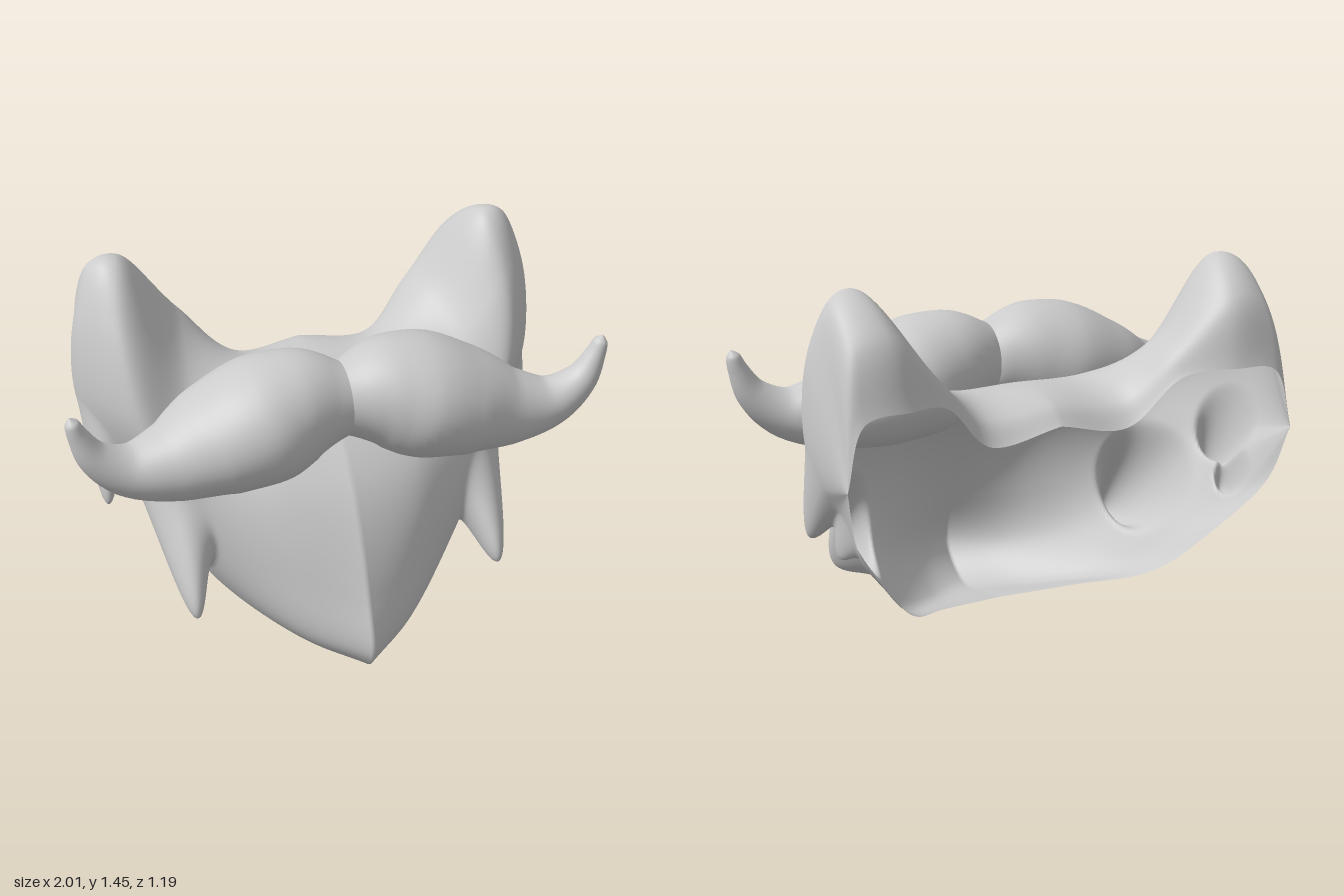
import * as THREE from 'three';

const material = new THREE.MeshStandardMaterial({ color: 0xcccccc, side: THREE.DoubleSide });
const curveOf = (pts) => new THREE.CatmullRomCurve3(pts.map((p) => new THREE.Vector3(...p)));

// Smooth surface from a grid of points; side = -1 mirrors it in x
function gridMesh(name, rows, cols, pointAt, closed, side) {
  const pos = [], index = [];
  const width = closed ? cols : cols + 1;
  for (let i = 0; i <= rows; i++) {
    for (let j = 0; j < width; j++) {
      const p = pointAt(i / rows, j / cols);
      pos.push(p.x * side, p.y, p.z);
    }
  }
  for (let i = 0; i < rows; i++) {
    for (let j = 0; j < cols; j++) {
      const k = (j + 1) % width;
      const a = i * width + j, b = a + width, c = i * width + k, d = c + width;
      if (side > 0) index.push(a, b, c, b, d, c);
      else index.push(a, c, b, b, c, d);
    }
  }
  const geo = new THREE.BufferGeometry();
  geo.setAttribute('position', new THREE.Float32BufferAttribute(pos, 3));
  geo.setIndex(index);
  geo.computeVertexNormals();
  const mesh = new THREE.Mesh(geo, material);
  mesh.name = name;
  return mesh;
}

// Beard sections from the middle to the outer cheek; each runs from the
// bottom rim round the front and over the top to the back rim
const sections = [
  [[0, .06, .1], [0, 0, .46], [0, .12, .61], [0, .34, .55], [0, .72, .34],
    [0, .95, .03], [0, 1, -.2], [0, .97, -.35], [0, .91, -.42]],
  [[.27, .1, 0], [.21, .04, .28], [.2, .15, .45], [.22, .38, .43], [.27, .72, .28],
    [.27, .95, .02], [.27, 1, -.2], [.27, .95, -.35], [.27, .87, -.42]],
  [[.5, .21, -.24], [.44, .15, .03], [.44, .27, .2], [.48, .48, .22], [.53, .75, .14],
    [.51, 1, -.03], [.48, 1.14, -.25], [.46, 1.13, -.42], [.46, 1.05, -.48]],
  [[.67, .41, -.4], [.6, .33, -.18], [.63, .47, 0], [.67, .68, .05], [.73, .94, .05],
    [.74, 1.26, -.09], [.7, 1.44, -.26], [.66, 1.32, -.48], [.63, 1.08, -.56]],
  [[.81, .62, -.52], [.77, .56, -.4], [.79, .65, -.3], [.85, .76, -.24], [.88, .95, -.21],
    [.86, 1.22, -.22], [.8, 1.41, -.3], [.79, 1.29, -.48], [.79, 1.06, -.57]],
];
const rimCorner = new THREE.Vector3(.86, .84, -.58);

// Tufts pulled out of the shell: place on it (across, along), tip and base radius
const tufts = [
  { at: [.58, .27], tip: [.61, .25, .33], radius: .23 }, // jaw
  { at: [.78, .37], tip: [.84, .53, -.085], radius: .16 }, // cheek
  { at: [.8, .2], tip: [.79, .5, -.26], radius: .1 }, // rear cheek
];

function buildBeard() {
  const curves = sections.map(curveOf);
  const shellPoint = (s, v) =>
    new THREE.CatmullRomCurve3([...curves.map((c) => c.getPoint(v)), rimCorner]).getPoint(s);
  const pulls = tufts.map(({ at, tip, radius }) => {
    const base = shellPoint(...at);
    return { base, radius, shift: new THREE.Vector3(...tip).sub(base) };
  });
  return gridMesh('beardShell', 240, 140, (u, v) => {
    const s = u * 2 - 1;
    const p = shellPoint(Math.abs(s), v);
    const start = p.clone();
    for (const { base, radius, shift } of pulls) {
      const d = Math.min(start.distanceTo(base) / radius, 1);
      p.addScaledVector(shift, (1 - d * d) ** 2);
    }
    p.x *= Math.sign(s);
    return p;
  }, false, 1);
}

// Moustache half: oval sweep along a path, curling up to a blunt tip
const moustachePath = curveOf([
  [0, 1.015, .21], [.15, 1.01, .2], [.3, .975, .2], [.48, .92, .205], [.65, .878, .23],
  [.8, .887, .25], [.91, .965, .26], [.96, 1.06, .26], [.978, 1.115, .26], [.985, 1.14, .26]]);
const moustacheRadii = curveOf([ // upright and depth radius
  [.135, .14, 0], [.205, .215, 0], [.225, .26, 0], [.195, .235, 0], [.142, .155, 0],
  [.095, .1, 0], [.062, .065, 0], [.038, .042, 0], [.026, .03, 0], [0, 0, 0]]);

function buildMoustache(name, side) {
  return gridMesh(name, 54, 40, (u, v) => {
    const t = moustachePath.getTangent(u), r = moustacheRadii.getPoint(u);
    const deep = new THREE.Vector3(0, 0, 1).addScaledVector(t, -t.z).normalize();
    const upright = t.clone().cross(deep);
    const angle = v * Math.PI * 2;
    const p = moustachePath.getPoint(u)
      .addScaledVector(upright, r.x * Math.cos(angle))
      .addScaledVector(deep, r.y * Math.sin(angle));
    // Both halves meet flat on the middle plane
    p.x = u === 0 ? 0 : Math.max(p.x, 0);
    return p;
  }, true, side);
}

export function createModel() {
  const group = new THREE.Group();
  group.name = 'beardAndMoustache';
  group.add(buildBeard());
  group.add(buildMoustache('leftMoustache', 1));
  group.add(buildMoustache('rightMoustache', -1));
  return group;
}
